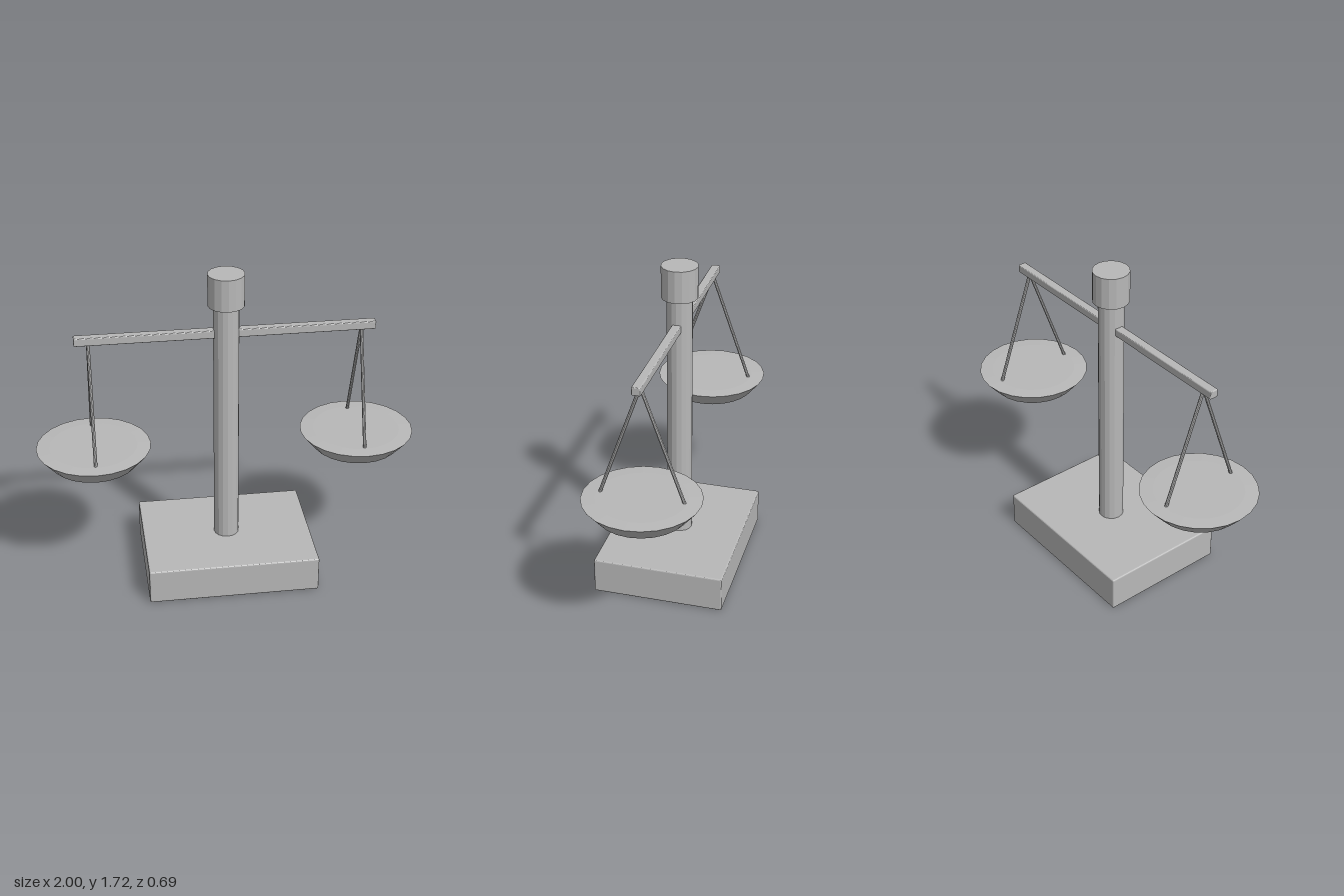
import * as THREE from 'three';
import { RoundedBoxGeometry } from 'three/addons/geometries/RoundedBoxGeometry.js';

export function createModel() {
  const model = new THREE.Group();
  model.name = 'balanceScale';

  const grey = new THREE.MeshStandardMaterial({ color: 0xb8b8b8, flatShading: true });
  grey.name = 'stone grey';

  function add(parent, name, geometry, x = 0, y = 0, z = 0) {
    const mesh = new THREE.Mesh(geometry, grey);
    mesh.name = name;
    mesh.position.set(x, y, z);
    parent.add(mesh);
    return mesh;
  }

  // Thin rod between two points
  function addRod(parent, name, from, to, radius) {
    const dir = to.clone().sub(from);
    const rod = add(parent, name, new THREE.CylinderGeometry(radius, radius, dir.length(), 8));
    rod.position.copy(from).add(to).multiplyScalar(0.5);
    rod.quaternion.setFromUnitVectors(new THREE.Vector3(0, 1, 0), dir.normalize());
  }

  // Slab base with slightly softened edges
  add(model, 'base', new RoundedBoxGeometry(0.91, 0.195, 0.695, 2, 0.008), 0, 0.0975, 0);

  // Column and its cap
  add(model, 'column', new THREE.CylinderGeometry(0.067, 0.067, 1.4, 16), 0, 0.87, 0);
  add(model, 'cap', new THREE.CylinderGeometry(0.095, 0.095, 0.17, 16), 0, 1.637, 0);

  // Cross beam
  add(model, 'beam', new RoundedBoxGeometry(1.545, 0.044, 0.046, 2, 0.006), 0, 1.4, 0);

  // Shallow pan: flat underside, flared wall, almost flat top
  const panProfile = [[0, 0.705], [0.232, 0.705], [0.3, 0.787], [0.23, 0.791], [0, 0.791]]
    .map(([r, y]) => new THREE.Vector2(r, y));

  for (const [side, label] of [[1, 'left'], [-1, 'right']]) {
    const group = new THREE.Group();
    group.name = label + 'PanAssembly';
    group.position.x = side * 0.7;
    add(group, label + 'Pan', new THREE.LatheGeometry(panProfile, 24));
    // Pair of hangers, front and back
    for (const [z, end] of [[0.215, 'Front'], [-0.215, 'Back']]) {
      addRod(group, label + end + 'Hanger',
        new THREE.Vector3(0, 1.39, 0), new THREE.Vector3(0, 0.785, z), 0.009);
    }
    model.add(group);
  }

  return model;
}
